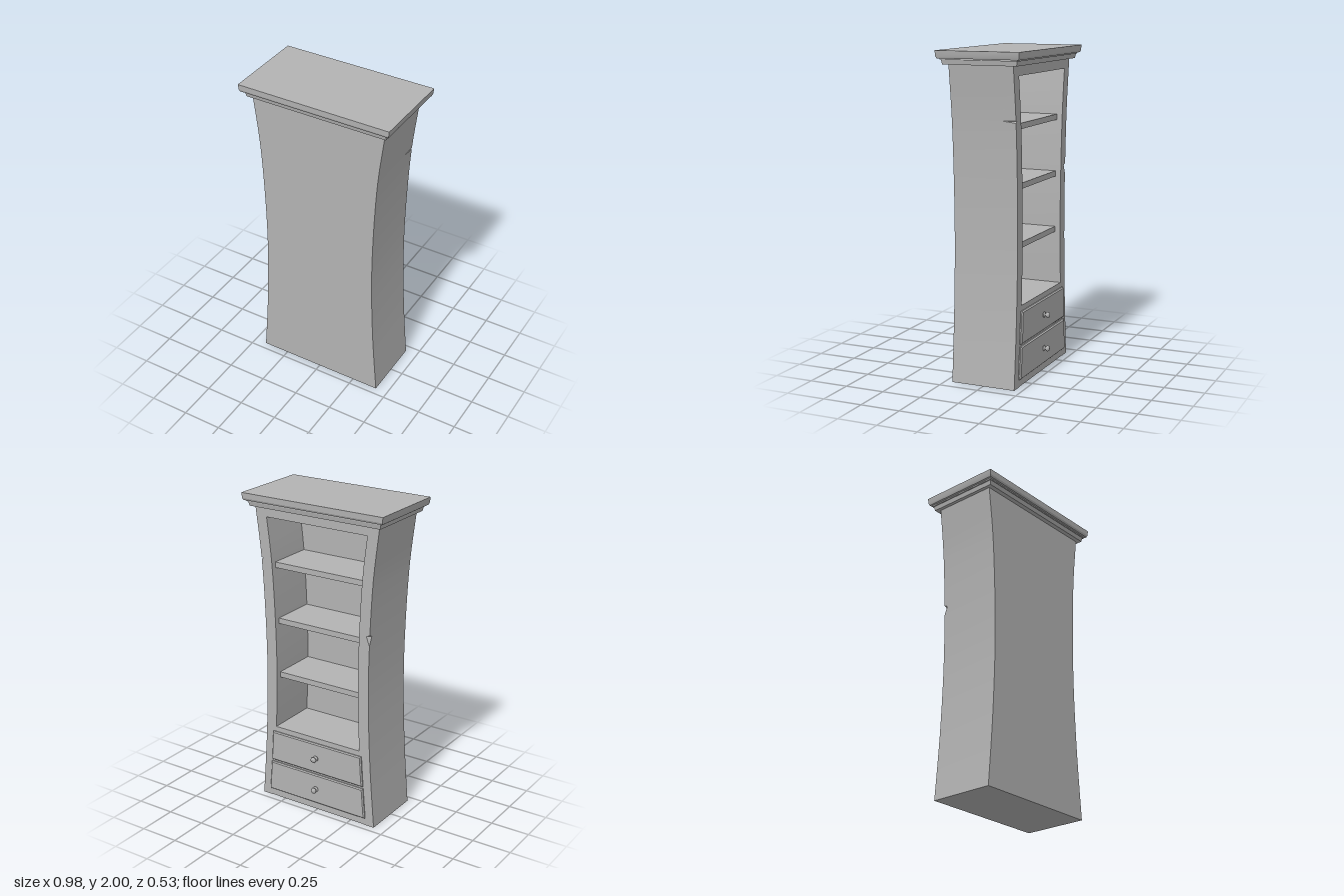
import * as THREE from 'three';
import { toCreasedNormals } from 'three/addons/utils/BufferGeometryUtils.js';

const BACK = 0.205, OPEN = -0.205, INNER = 0.13; // z planes of the case

// Half width of the waisted case at a height
const profile = new THREE.CatmullRomCurve3([
  [0.42, 0], [0.402, 0.22], [0.386, 0.45], [0.371, 0.85],
  [0.375, 1.2], [0.396, 1.6], [0.435, 1.93],
].map(([x, y]) => new THREE.Vector3(x, y, 0))).getPoints(90);
function halfWidth(y) {
  const i = Math.max(1, profile.findIndex(p => p.y >= y));
  const a = profile[i - 1], b = profile[i];
  return THREE.MathUtils.lerp(a.x, b.x, (y - a.y) / (b.y - a.y));
}
const innerHalf = y => halfWidth(y) - 0.073;

// Skin a stack of horizontal sections: [{ y, pts: [[x, z], ...] }, ...]
function loft(sections) {
  const pos = [];
  for (let r = 0; r + 1 < sections.length; r++) {
    const lo = sections[r], hi = sections[r + 1], n = lo.pts.length;
    for (let i = 0; i < n; i++) {
      const j = (i + 1) % n;
      const at = (s, k) => [s.pts[k][0], s.y, s.pts[k][1]];
      const a = at(lo, i), b = at(lo, j), c = at(hi, j), d = at(hi, i);
      pos.push(...a, ...b, ...c, ...a, ...c, ...d);
    }
  }
  const g = new THREE.BufferGeometry();
  g.setAttribute('position', new THREE.Float32BufferAttribute(pos, 3));
  return toCreasedNormals(g, 0.35);
}

// Upright panel whose ends follow the waisted profile
function panel(y0, y1, half, z0, z1, bevel = 0) {
  const steps = 6, right = [];
  for (let i = 0; i <= steps; i++) {
    const y = THREE.MathUtils.lerp(y0, y1, i / steps);
    right.push(new THREE.Vector2(half(y), y));
  }
  const left = right.map(p => new THREE.Vector2(-p.x, p.y)).reverse();
  const g = new THREE.ExtrudeGeometry(new THREE.Shape([...right, ...left]), {
    depth: z1 - z0 - 2 * bevel, bevelEnabled: bevel > 0,
    bevelThickness: bevel, bevelSize: bevel, bevelOffset: -bevel, bevelSegments: 1,
  });
  g.translate(0, 0, z0 + bevel);
  return g;
}

export function createModel() {
  const model = new THREE.Group();
  model.name = 'bookcase';
  const grey = new THREE.MeshStandardMaterial({ color: 0xb3b3b3 });
  grey.name = 'paintedGrey';
  const add = (name, geometry, x = 0, y = 0, z = 0) => {
    const mesh = new THREE.Mesh(geometry, grey);
    mesh.name = name;
    mesh.position.set(x, y, z);
    model.add(mesh);
    return mesh;
  };

  // Case: U-shaped section, with a nick in each open-side edge
  const nicks = { 1.6: [0.016, 0.085, 0, 0], 1.25: [0, 0, 0.024, 0.024] };
  const heights = [0, 0.1, 0.2, 0.3, 0.4, 0.5, 0.6, 0.7, 0.8, 0.9, 1, 1.1, 1.195, 1.25, 1.262,
    1.35, 1.45, 1.53, 1.59, 1.6, 1.603, 1.68, 1.76, 1.84, 1.925];
  add('case', loft(heights.map(y => {
    const w = halfWidth(y), i = innerHalf(y);
    const [rx, rz, lx, lz] = nicks[y] || [0, 0, 0, 0];
    return { y, pts: [
      [-w, BACK], [w, BACK], [w, OPEN + rz], [w - rx, OPEN],
      [i, OPEN], [i, INNER], [-i, INNER], [-i, OPEN],
      [-w + lx, OPEN], [-w, OPEN + lz],
    ] };
  })));
  add('underside', new THREE.PlaneGeometry(0.84, BACK - OPEN).rotateX(Math.PI / 2));
  add('base', panel(0.002, 0.497, innerHalf, OPEN, INNER));
  add('topRail', panel(1.858, 1.925, innerHalf, OPEN, INNER));

  // Shelves
  for (const top of [0.863, 1.219, 1.575]) {
    add('shelf', panel(top - 0.035, top, innerHalf, -0.17, INNER));
  }

  // Drawers with turned knobs
  const knob = new THREE.LatheGeometry([
    [0, 0], [0.019, 0], [0.017, 0.005], [0.008, 0.008], [0.008, 0.014],
    [0.016, 0.02], [0.019, 0.027], [0.014, 0.036], [0, 0.04],
  ].map(([r, h]) => new THREE.Vector2(r, h)), 10).rotateX(-Math.PI / 2);
  for (const [y0, y1] of [[0.05, 0.25], [0.265, 0.465]]) {
    add('drawer', panel(y0, y1, y => halfWidth(y) - 0.056, -0.221, OPEN + 0.005, 0.007));
    add('knob', knob, 0, (y0 + y1) / 2, -0.22);
  }

  // Stepped cornice
  add('cornice', loft([
    [1.918, 0, 0], [1.918, 0.455, 0.234], [1.946, 0.46, 0.24], [1.946, 0.467, 0.245],
    [1.954, 0.467, 0.245], [1.954, 0.481, 0.257], [1.966, 0.486, 0.263],
    [2, 0.49, 0.265], [2, 0, 0],
  ].map(([y, x, z]) => ({ y, pts: [[-x, z], [x, z], [x, -z], [-x, -z]] }))));

  return model;
}
